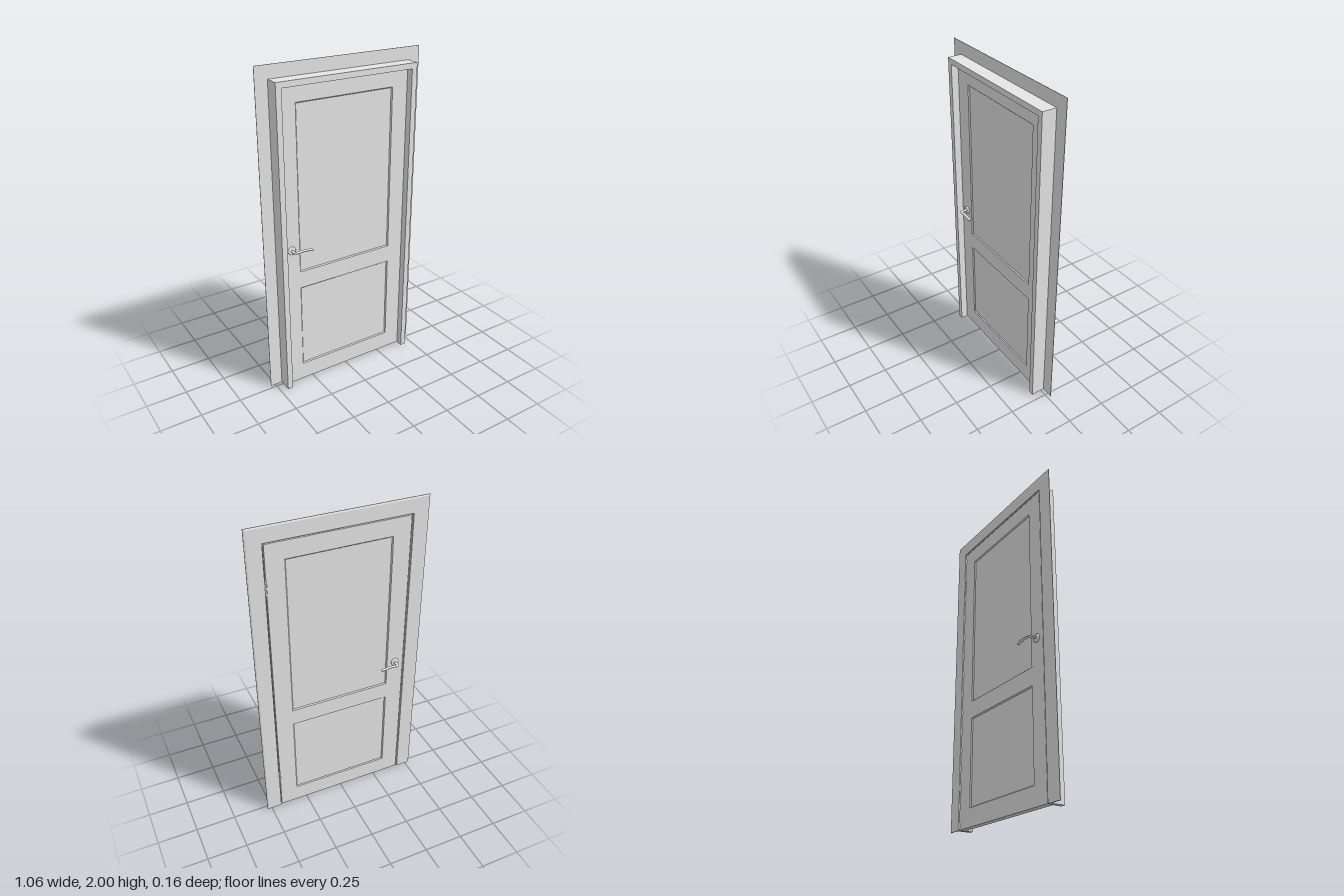
import * as THREE from 'three';

const grey = new THREE.MeshStandardMaterial({ color: 0xe5e5e5 });
grey.name = 'light grey';

function triangles(pos) {
  const g = new THREE.BufferGeometry();
  g.setAttribute('position', new THREE.Float32BufferAttribute(pos, 3));
  g.computeVertexNormals();
  return g;
}

// Flat faces joining two lines of points
function strip(pos, a, b) {
  for (let s = 0; s < a.length - 1; s++) {
    pos.push(...a[s], ...a[s + 1], ...b[s + 1], ...a[s], ...b[s + 1], ...b[s]);
  }
}

// Sweeps a profile of [distance from centre, z] up one side, across the top and down the other
function archGeometry(profile) {
  const TOP = 1.47; // head height above the side offset, gives mitred corners
  const lines = profile.map(([o, z]) => [[-o, 0, z], [-o, TOP + o, z], [o, TOP + o, z], [o, 0, z]]);
  const pos = [];
  lines.forEach((line, i) => strip(pos, lines[(i + 1) % lines.length], line));
  // end caps on the floor
  const tris = THREE.ShapeUtils.triangulateShape(profile.map(p => new THREE.Vector2(...p)), []);
  for (const [a, b, c] of tris) {
    pos.push(...lines[a][3], ...lines[b][3], ...lines[c][3]);
    pos.push(...lines[a][0], ...lines[c][0], ...lines[b][0]);
  }
  return triangles(pos);
}

// Corners of a rectangle centred on x = 0
const corners = (x, y0, y1) => [[-x, y0], [x, y0], [x, y1], [-x, y1]];
const points = (...edges) => corners(...edges).map(p => new THREE.Vector2(...p));
const loop = (edges, z) => {
  const c = corners(...edges);
  return [...c, c[0]].map(([x, y]) => [x, y, z]);
};

function slab(edges, holes, z0, z1) {
  const shape = new THREE.Shape(points(...edges));
  for (const h of holes) shape.holes.push(new THREE.Path(points(...h)));
  return new THREE.ExtrudeGeometry(shape, { depth: z1 - z0, bevelEnabled: false }).translate(0, 0, z0);
}

export function createModel() {
  const model = new THREE.Group();
  const add = (parent, name, geometry, x = 0, y = 0, z = 0) => {
    const m = new THREE.Mesh(geometry, grey);
    m.name = name;
    m.position.set(x, y, z);
    parent.add(m);
    return m;
  };

  // Rebated frame and the thin casing on the back
  add(model, 'frame', archGeometry([
    [0.42, 0.022], [0.432, 0.022], [0.432, -0.02], [0.454, -0.02], [0.454, 0.066], [0.42, 0.066],
  ]));
  add(model, 'casing', archGeometry([
    [0.436, -0.02], [0.436, -0.027], [0.521, -0.027], [0.53, -0.023], [0.53, -0.02],
  ]));

  // Door leaf with two recessed panels inside sloping reveals
  const door = new THREE.Group();
  door.name = 'door';
  model.add(door);
  const F = 0.02, B = -0.022, WIDTH = 0.006, DEPTH = 0.007;
  const openings = [[0.318, 0.113, 0.663], [0.318, 0.771, 1.792]];
  add(door, 'doorLeaf', slab([0.427, 0.002, 1.897], openings, B, F));
  for (const outer of openings) {
    const [x, y0, y1] = outer;
    const inner = [x - WIDTH, y0 + WIDTH, y1 - WIDTH];
    const pos = [];
    strip(pos, loop(outer, F), loop(inner, F - DEPTH));
    strip(pos, loop(inner, B + DEPTH), loop(outer, B));
    add(door, 'panelReveal', triangles(pos));
    add(door, 'panel', slab(inner, [], B + DEPTH, F - DEPTH));
  }

  // Lever handles, one on each face, with a flattened grip
  const path = new THREE.CurvePath();
  const V = (x, y, z) => new THREE.Vector3(x, y, z);
  path.add(new THREE.LineCurve3(V(0, 0, 0), V(0, 0, 0.034)));
  path.add(new THREE.QuadraticBezierCurve3(V(0, 0, 0.034), V(0, 0, 0.048), V(0.015, 0.003, 0.048)));
  path.add(new THREE.CubicBezierCurve3(
    V(0.015, 0.003, 0.048), V(0.05, 0.01, 0.048), V(0.08, 0.006, 0.048), V(0.112, -0.006, 0.048)));
  const FLAT = 0.65;
  const lever = new THREE.TubeGeometry(path, 40, 0.0095, 16).scale(1, FLAT, 1);
  const tip = new THREE.SphereGeometry(0.0095, 16, 10).scale(0.25, FLAT, 1);
  const discProfile = [[0.025, 0], [0.025, 0.006], [0.02, 0.009], [0, 0.009]]
    .map(p => new THREE.Vector2(...p));
  const disc = new THREE.LatheGeometry(discProfile, 32).rotateX(Math.PI / 2);
  for (const [name, z, side] of [['frontHandle', F, 1], ['backHandle', B, -1]]) {
    const handle = new THREE.Group();
    handle.name = name;
    handle.position.set(-0.371, 0.928, z);
    handle.scale.z = side;
    door.add(handle);
    add(handle, 'rosette', disc);
    add(handle, 'lever', lever);
    add(handle, 'leverTip', tip, 0.112, -0.006 * FLAT, 0.048);
  }

  // Hinges with five knuckles each
  for (const y of [0.243, 1.645]) {
    const hinge = new THREE.Group();
    hinge.name = 'hinge';
    hinge.position.set(0.43, y, -0.024);
    model.add(hinge);
    for (let i = -2; i <= 2; i++) {
      add(hinge, 'knuckle', new THREE.CylinderGeometry(0.0055, 0.0055, 0.016, 16), 0, i * 0.018, 0);
    }
    add(hinge, 'pin', new THREE.CylinderGeometry(0.004, 0.004, 0.094, 12));
    add(hinge, 'leaf', new THREE.BoxGeometry(0.002, 0.088, 0.036), 0, 0, 0.018);
  }
  return model;
}
